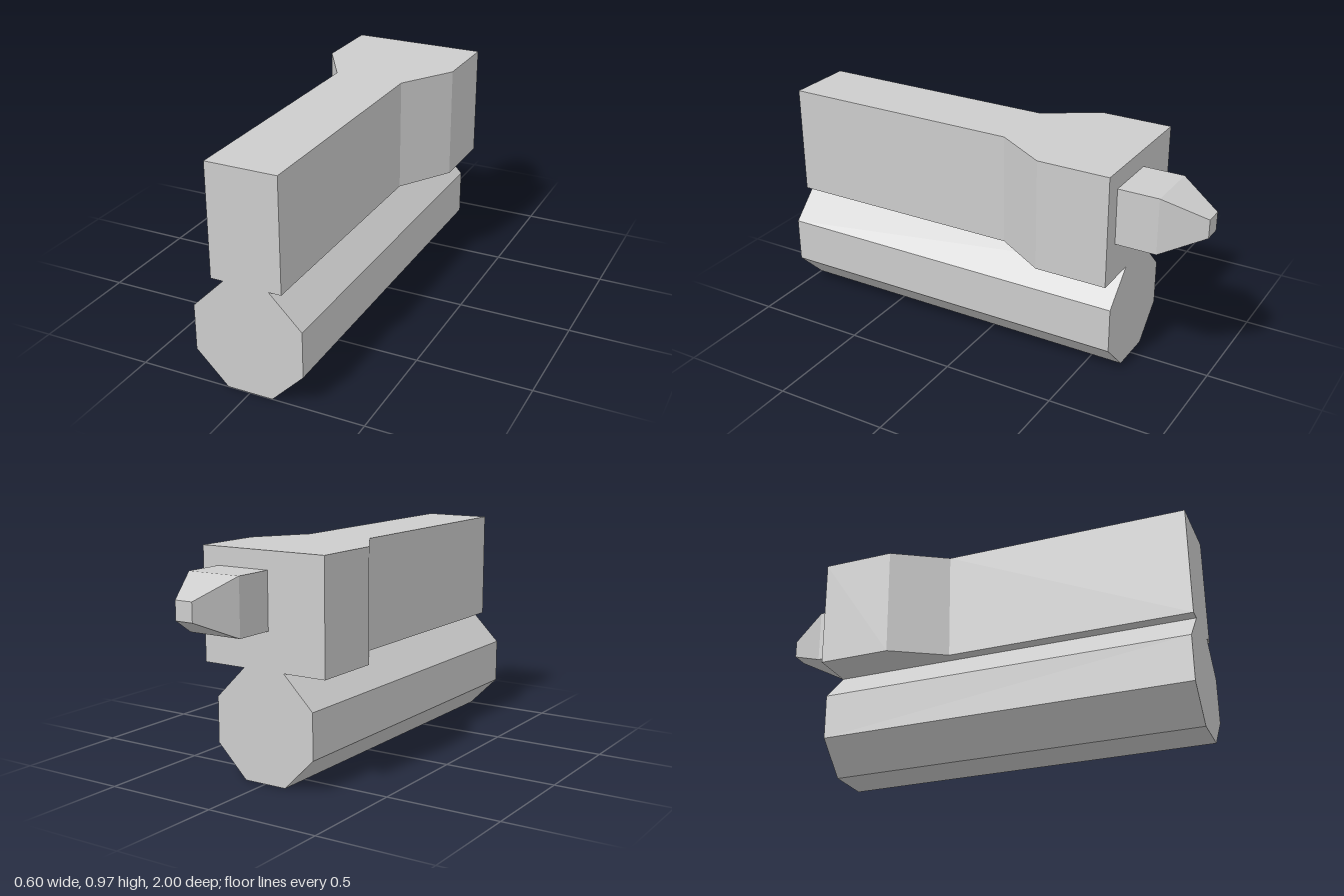
import * as THREE from 'three';

const BACK = -0.64, FRONT = 1;

// Mirrors a half outline [x, y] across x = 0 into a closed shape
function mirroredShape(half) {
  const other = half.map(([x, y]) => [-x, y]).reverse();
  return new THREE.Shape([...half, ...other].map(([x, y]) => new THREE.Vector2(x, y)));
}

function extrude(half, depth) {
  return new THREE.ExtrudeGeometry(mirroredShape(half), { depth, bevelEnabled: false });
}

export function createModel() {
  const group = new THREE.Group();
  const grey = new THREE.MeshStandardMaterial({ color: 0xcccccc });
  grey.name = 'grey';

  function add(name, geometry) {
    const mesh = new THREE.Mesh(geometry, grey);
    mesh.name = name;
    group.add(mesh);
  }

  // Octagonal lower barrel, running front to back
  const barrel = extrude([[0.1, 0], [0.24, 0.14], [0.24, 0.34], [0.1, 0.48]], FRONT - BACK);
  barrel.translate(0, 0, BACK);
  add('barrel', barrel);

  // Upper housing: plan outline (y = -z) that widens toward the back
  const housing = extrude([[0.155, -FRONT], [0.155, 0.085], [0.3, 0.32], [0.3, -BACK]], 0.49);
  housing.rotateX(-Math.PI / 2);
  housing.translate(0, 0.48, 0);
  add('housing', housing);

  // Off-centre rear plug: a box whose back half tapers to a small square
  const box = new THREE.BoxGeometry(0.25, 0.246, 0.36, 1, 1, 2);
  const p = box.attributes.position;
  for (let i = 0; i < p.count; i++) {
    if (p.getZ(i) < -0.1) p.setXY(i, p.getX(i) * 0.33, p.getY(i) * 0.33);
  }
  const plug = box.toNonIndexed();
  plug.computeVertexNormals();
  plug.translate(0.098, 0.768, -0.82);
  add('rearPlug', plug);

  return group;
}
